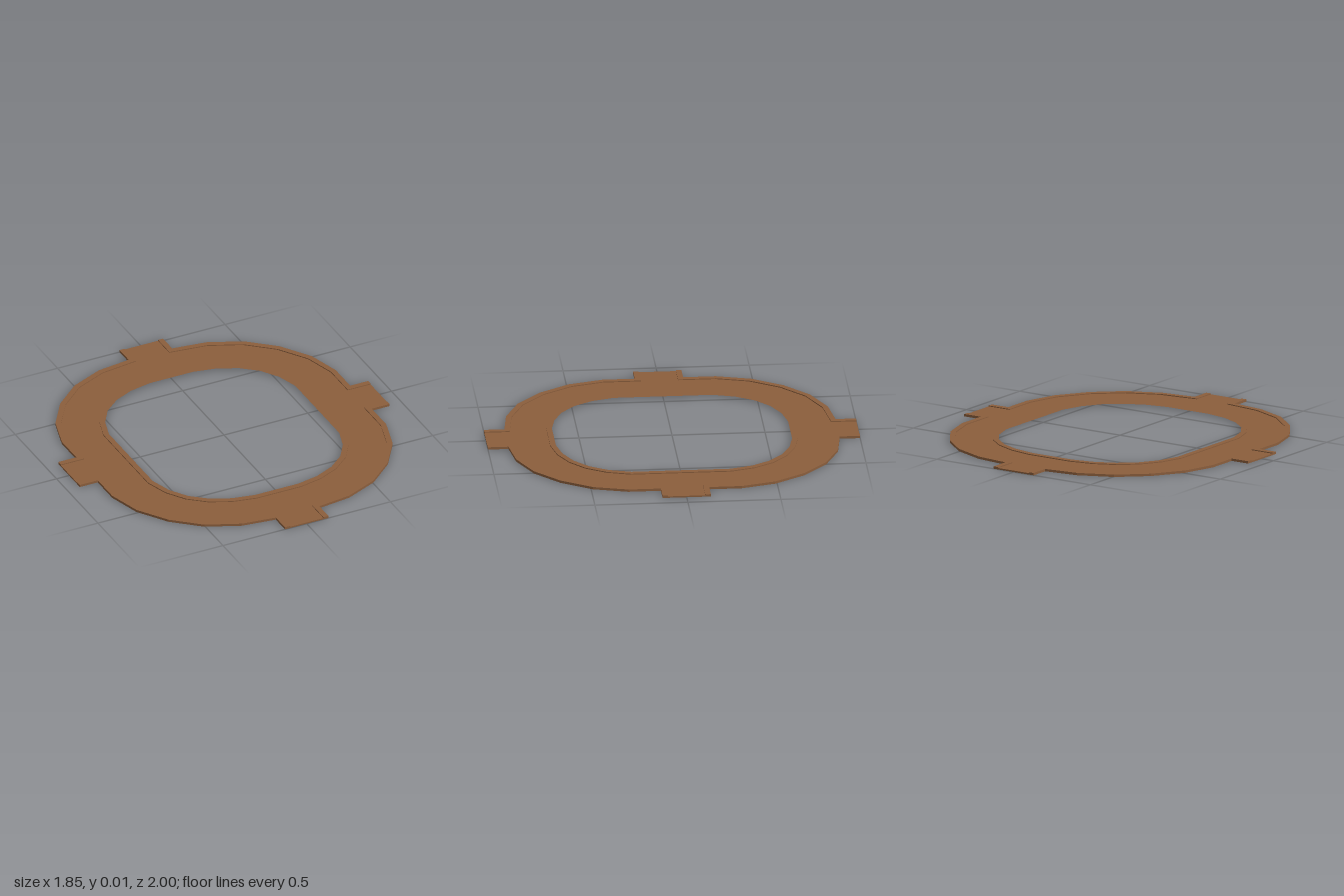
import * as THREE from 'three';

const FLOOR = 0.008, TOP = 0.013, LIP = 0.03;

// One quadrant of the outer edge, from the end tab round to the side tab
const outerQuarter = [[0.13, 1], [0.13, 0.89], [0.32, 0.865], [0.505, 0.785], [0.655, 0.655],
  [0.765, 0.49], [0.818, 0.305], [0.818, 0.13], [0.925, 0.13]];
// One quadrant of the opening
const innerQuarter = [[0.13, 0.635], [0.255, 0.61], [0.365, 0.56], [0.455, 0.485], [0.52, 0.385], [0.557, 0.265]];

const vecs = (list) => list.map(([x, y]) => new THREE.Vector2(x, y));

// Mirrors a quadrant into a closed loop
function fullLoop(quarter) {
  const flip = (sx, sy) => quarter.map(([x, y]) => [x * sx, y * sy]);
  return vecs([...quarter, ...flip(1, -1).reverse(), ...flip(-1, -1), ...flip(-1, 1).reverse()]);
}

// Moves a path sideways by d (to the right of travel) with mitred corners
function offsetPath(points, d, closed) {
  const n = points.length;
  const normal = (a, b) => {
    const t = b.clone().sub(a).normalize();
    return new THREE.Vector2(t.y, -t.x);
  };
  return points.map((p, i) => {
    const prev = closed || i > 0 ? normal(points[(i + n - 1) % n], p) : null;
    const next = closed || i < n - 1 ? normal(p, points[(i + 1) % n]) : null;
    const a = prev || next, b = next || prev;
    return p.clone().addScaledVector(a.clone().add(b), d / (1 + a.dot(b)));
  });
}

// Upright slab between two heights
function slab(shape, y0, y1) {
  const geo = new THREE.ExtrudeGeometry(shape, { depth: y1 - y0, bevelEnabled: false });
  return geo.rotateX(-Math.PI / 2).translate(0, y0, 0);
}

export function createModel() {
  const group = new THREE.Group();
  const brown = new THREE.MeshStandardMaterial({ color: 0x8b5e3c });
  brown.name = 'brown';
  const add = (name, geo) => {
    const mesh = new THREE.Mesh(geo, brown);
    mesh.name = name;
    group.add(mesh);
  };

  // Flat ring with four tabs
  const opening = fullLoop(innerQuarter);
  const ring = new THREE.Shape(fullLoop(outerQuarter));
  ring.holes.push(new THREE.Path(opening));
  add('ringPlate', slab(ring, 0, FLOOR));

  // Low lip around the opening
  const innerLip = new THREE.Shape(offsetPath(opening, -LIP, true));
  innerLip.holes.push(new THREE.Path(opening));
  add('innerLip', slab(innerLip, FLOOR, TOP));

  // Low lips along the outer edge, open at the tab ends
  for (const sx of [1, -1]) {
    for (const sy of [1, -1]) {
      const path = vecs(outerQuarter.map(([x, y]) => [x * sx, y * sy]));
      const inset = offsetPath(path, LIP * sx * sy, false);
      add('outerLip', slab(new THREE.Shape([...path, ...inset.reverse()]), FLOOR, TOP));
    }
  }
  return group;
}
